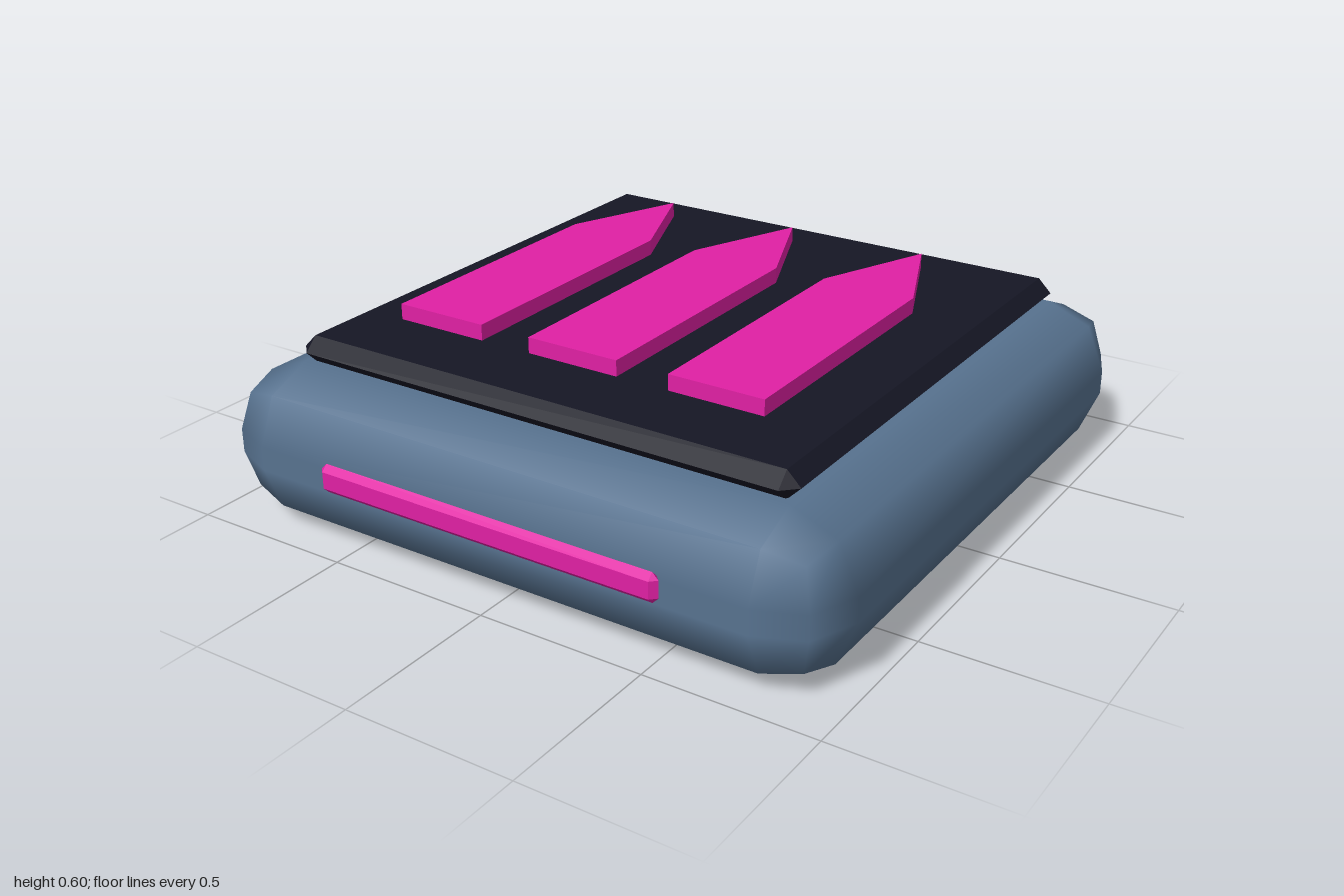
import * as THREE from 'three';
import { RoundedBoxGeometry } from 'three/addons/geometries/RoundedBoxGeometry.js';
import { ConvexGeometry } from 'three/addons/geometries/ConvexGeometry.js';

const material = (color) => new THREE.MeshStandardMaterial({ color });

// Box with every edge cut by a single 45 degree chamfer
function chamferBox(width, height, depth, c) {
  const half = [width / 2, height / 2, depth / 2];
  const points = new Map();
  for (const sx of [-1, 1]) for (const sy of [-1, 1]) for (const sz of [-1, 1]) {
    const sign = [sx, sy, sz];
    for (let axis = 0; axis < 3; axis++) {
      const p = half.map((h, i) => sign[i] * (i === axis ? h : h - c));
      points.set(p.map((v) => (v + 0).toFixed(4).replace('-0.0000', '0.0000')).join(), new THREE.Vector3(...p));
    }
  }
  return new ConvexGeometry([...points.values()]);
}

export function createModel() {
  const model = new THREE.Group();
  const slate = material(0x57728f);
  const dark = material(0x151624);
  const pink = material(0xe020a4);

  function add(name, geometry, mat, x, y, z) {
    const mesh = new THREE.Mesh(geometry, mat);
    mesh.name = name;
    mesh.position.set(x, y, z);
    model.add(mesh);
  }

  // Softly rounded base
  add('body', new RoundedBoxGeometry(1.94, 0.45, 1.94, 1, 0.19), slate, 0, 0.225, 0);

  // Dark plate on top
  add('topPanel', chamferBox(1.59, 0.08, 1.59, 0.04), dark, 0, 0.485, 0);

  // Light strips on the front and back
  const strip = chamferBox(1.084, 0.085, 0.036, 0.018);
  add('frontStrip', strip, pink, 0, 0.243, 0.982);
  add('backStrip', strip, pink, 0, 0.243, -0.982);

  // Three arrows hovering over the plate, pointing to the back
  const w = 0.143;
  const outline = new THREE.Shape([
    [-w, -0.58], [w, -0.58], [w, 0.235], [0, 0.58], [-w, 0.235],
  ].map(([x, y]) => new THREE.Vector2(x, y)));
  const arrow = new THREE.ExtrudeGeometry(outline, { depth: 0.046, bevelEnabled: false });
  arrow.rotateX(-Math.PI / 2);
  ['rightArrow', 'middleArrow', 'leftArrow'].forEach((name, i) => {
    add(name, arrow, pink, (i - 1) * 0.446, 0.55, 0);
  });

  return model;
}
